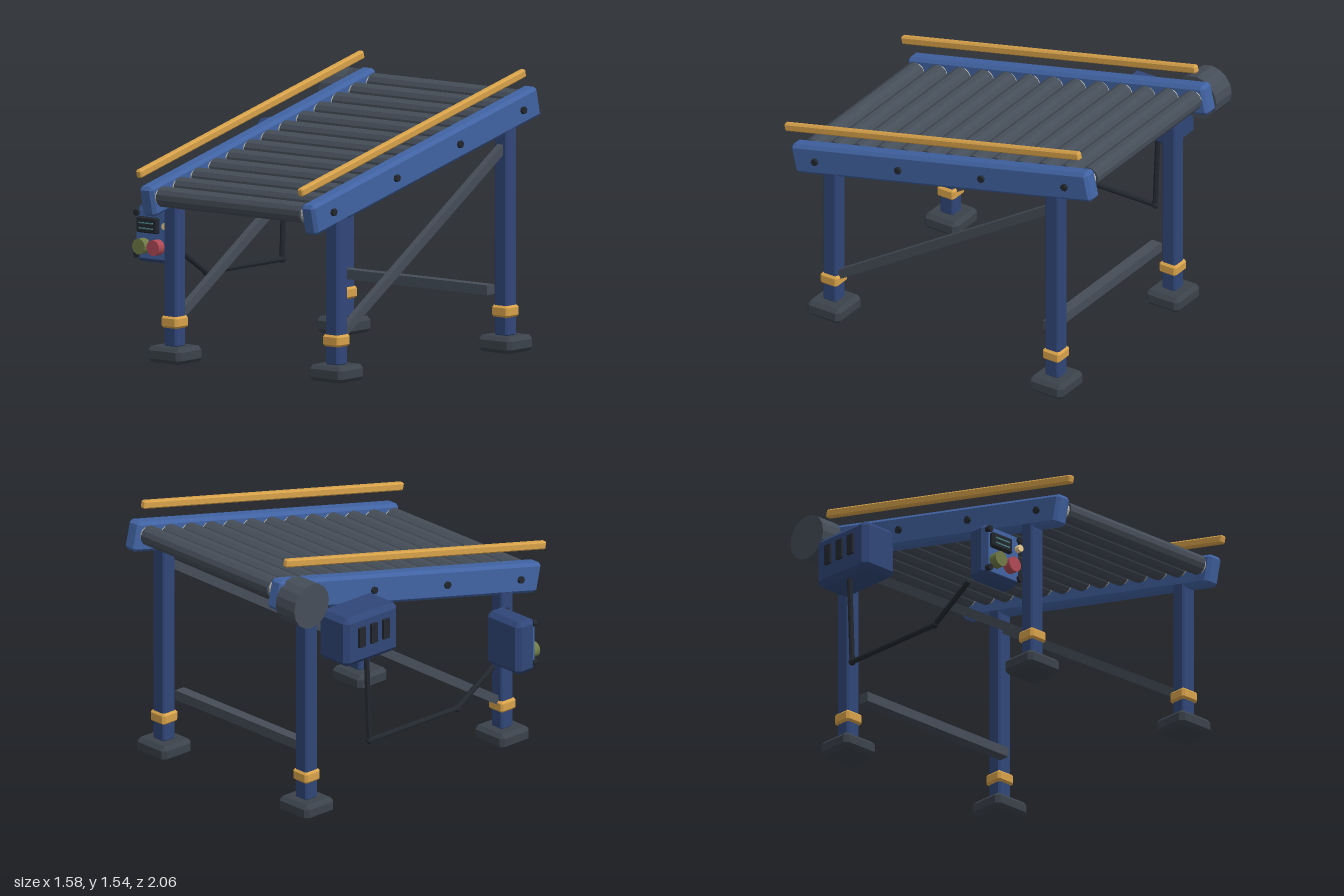
import * as THREE from 'three';
import { ConvexGeometry } from 'three/addons/geometries/ConvexGeometry.js';

const mat = (color, flat = true) => new THREE.MeshStandardMaterial({ color, flatShading: flat });
const M = {
  rail: mat(0x4163a3), frame: mat(0x304678), yellow: mat(0xd8a24a), steel: mat(0x454d58),
  foot: mat(0x3b424b), dark: mat(0x23282f), cap: mat(0xbdbdb0), green: mat(0x6f7a46),
  red: mat(0xb04a55), lamp: mat(0xf0d090), line: mat(0x4f8a8c),
};
const TILT = THREE.MathUtils.degToRad(13);
const SIDES = [['right', -0.47, -1], ['left', 0.67, 1]];

// Box with flat 45 degree chamfers on every edge
function chamferBox(w, h, d, b) {
  const s = [w / 2, h / 2, d / 2], pts = [];
  for (const x of [-1, 1]) for (const y of [-1, 1]) for (const z of [-1, 1])
    for (let k = 0; k < 3; k++) {
      const p = [x, y, z].map((v, i) => v * (i === k ? s[i] : s[i] - b));
      pts.push(new THREE.Vector3(...p));
    }
  return new ConvexGeometry(pts);
}

function add(parent, name, geometry, material, x = 0, y = 0, z = 0) {
  const m = new THREE.Mesh(geometry, material);
  m.name = name;
  m.position.set(x, y, z);
  parent.add(m);
  return m;
}

// Cylinder lying along x or z
function disc(r, len, n, axis) {
  const g = new THREE.CylinderGeometry(r, r, len, n);
  return axis === 'x' ? g.rotateZ(Math.PI / 2) : g.rotateX(Math.PI / 2);
}

// Place a mesh whose length runs along its z axis between two points
function span(mesh, a, b) {
  mesh.position.copy(a).add(b).multiplyScalar(0.5);
  mesh.lookAt(b);
  return mesh;
}

// Sloping deck: side rails, bolts and rollers
function buildDeck() {
  const deck = new THREE.Group();
  deck.name = 'deck';
  deck.position.y = 1.14;
  deck.rotation.x = TILT;
  for (const [side, x, out] of SIDES) {
    add(deck, side + 'SideRail', chamferBox(0.094, 0.172, 2.012, 0.018), M.rail, x);
    add(deck, side + 'GuardRail', chamferBox(0.038, 0.046, 2.0, 0.008), M.yellow, x, 0.175, 0.04);
    for (let i = 0; i < 4; i++)
      add(deck, side + 'RailBolt', disc(0.021, 0.03, 6, 'x'), M.dark, x + out * 0.05, 0, 0.847 - i * 0.565);
  }
  const roller = disc(0.057, 1.01, 12, 'x'), axle = disc(0.044, 1.046, 12, 'x');
  for (let i = 0; i < 13; i++) {
    const z = -0.942 + i * 0.157;
    add(deck, 'roller', roller, M.steel, 0.1, 0.018, z);
    add(deck, 'rollerAxle', axle, M.cap, 0.1, 0.018, z);
  }
  return deck;
}

// Legs, feet, collars and bracing
function buildStand() {
  const stand = new THREE.Group();
  stand.name = 'stand';
  for (const [side, x] of SIDES) {
    for (const [end, z, top] of [['Front', 0.735, 0.93], ['Rear', -0.735, 1.27]]) {
      add(stand, side + end + 'Leg', chamferBox(0.09, top - 0.09, 0.09, 0.01), M.frame, x, (top + 0.09) / 2, z);
      add(stand, side + end + 'Collar', chamferBox(0.115, 0.066, 0.113, 0.012), M.yellow, x, 0.228, z);
      add(stand, side + end + 'Foot', chamferBox(0.235, 0.09, 0.22, 0.022), M.foot, x, 0.05, z);
    }
    span(add(stand, side + 'DiagonalBrace', new THREE.BoxGeometry(0.04, 0.05, 1.71), M.steel),
      new THREE.Vector3(x, 0.24, 0.725), new THREE.Vector3(x, 1.145, -0.725));
  }
  add(stand, 'rearCrossBar', new THREE.BoxGeometry(1.06, 0.055, 0.065), M.steel, 0.1, 0.348, -0.657);
  return stand;
}

// Motor, drive box and its cable
function buildDrive() {
  const drive = new THREE.Group();
  drive.name = 'drive';
  add(drive, 'motor', disc(0.13, 0.15, 16, 'x'), M.steel, -0.58, 1.32, -0.87);
  add(drive, 'driveBox', chamferBox(0.235, 0.285, 0.4, 0.028), M.frame, -0.635, 1.068, -0.5);
  for (const z of [-0.59, -0.5, -0.41])
    add(drive, 'vent', new THREE.BoxGeometry(0.025, 0.115, 0.045), M.dark, -0.755, 1.087, z);
  const path = [[0.97, -0.492], [0.42, -0.47], [0.42, 0.19], [0.59, 0.46]]
    .map(([y, z]) => new THREE.Vector3(-0.69, y, z));
  for (let i = 0; i < 3; i++) {
    const len = path[i].distanceTo(path[i + 1]);
    span(add(drive, 'cable', disc(0.015, len, 8, 'z'), M.dark), path[i], path[i + 1]);
    if (i) add(drive, 'cableJoint', new THREE.SphereGeometry(0.021, 8, 6), M.dark, ...path[i].toArray());
  }
  return drive;
}

// Control box with screen, buttons and lamp
function buildControls() {
  const box = new THREE.Group();
  box.name = 'controlBox';
  add(box, 'controlHousing', chamferBox(0.27, 0.31, 0.135, 0.026), M.frame, -0.655, 0.685, 0.625);
  add(box, 'controlFace', new THREE.BoxGeometry(0.225, 0.265, 0.012), M.rail, -0.655, 0.685, 0.694);
  for (const x of [-0.762, -0.538]) for (const y of [0.57, 0.802])
    add(box, 'cornerScrew', disc(0.019, 0.03, 8, 'z'), M.dark, x, y, 0.7);
  add(box, 'screen', chamferBox(0.15, 0.088, 0.04, 0.008), M.dark, -0.68, 0.74, 0.705);
  for (const y of [0.752, 0.722])
    add(box, 'screenLine', new THREE.BoxGeometry(0.1, 0.007, 0.006), M.line, -0.682, y, 0.726);
  add(box, 'startButton', disc(0.044, 0.055, 16, 'z'), M.green, -0.715, 0.622, 0.723);
  add(box, 'stopButton', disc(0.044, 0.055, 16, 'z'), M.red, -0.613, 0.622, 0.723);
  add(box, 'lamp', disc(0.02, 0.035, 12, 'z'), M.lamp, -0.55, 0.745, 0.712);
  return box;
}

export function createModel() {
  const model = new THREE.Group();
  model.name = 'rollerConveyor';
  model.add(buildDeck(), buildStand(), buildDrive(), buildControls());
  return model;
}
